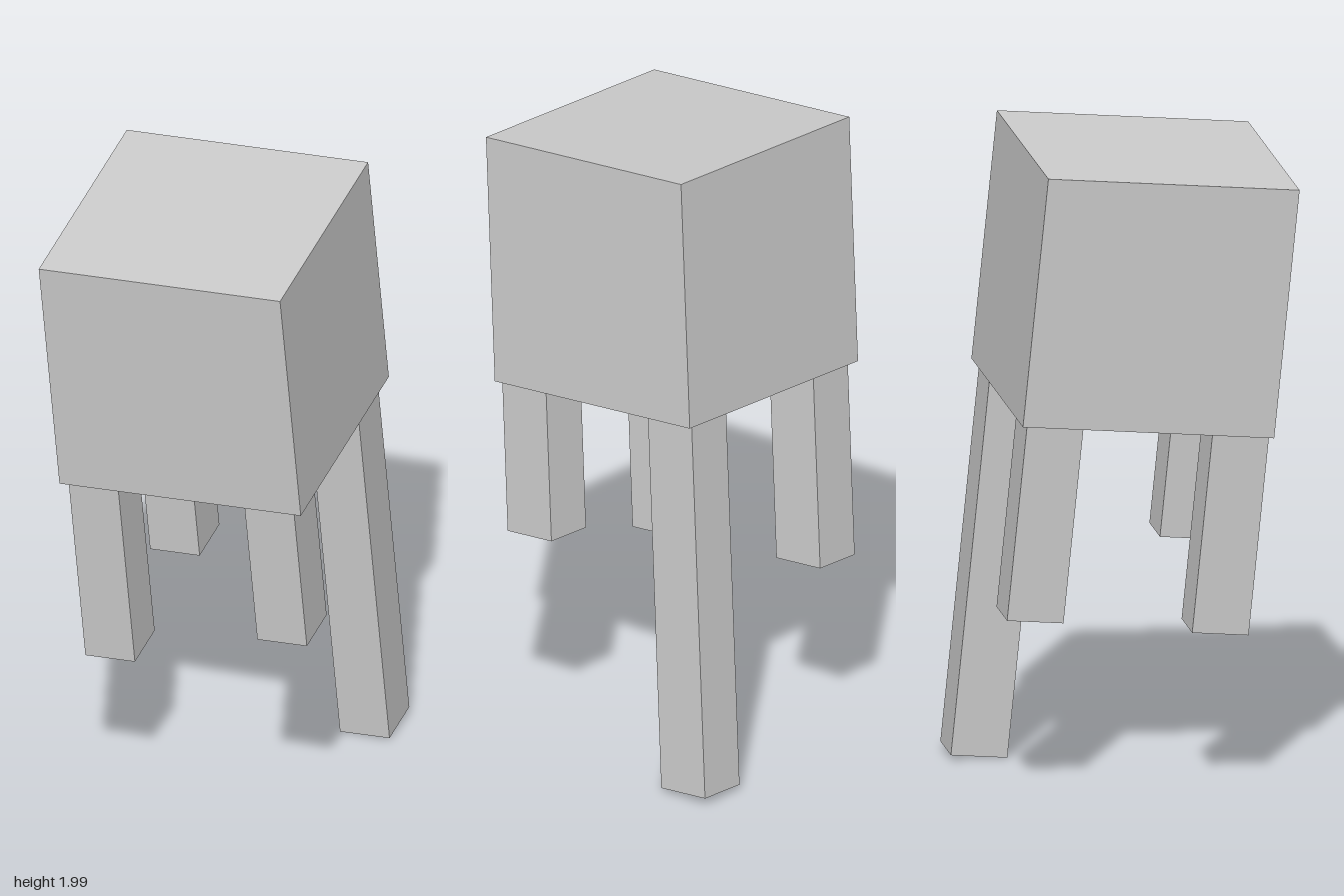
import * as THREE from 'three';

export function createModel() {
  const model = new THREE.Group();
  const grey = new THREE.MeshStandardMaterial({ color: 0xcccccc });
  grey.name = 'lightGrey';

  // Tilted frame shared by the block and its legs
  const stool = new THREE.Group();
  stool.name = 'tiltedStool';
  const up = new THREE.Vector3(-0.1026, 0.994, -0.019).normalize();
  const across = new THREE.Vector3(0.936, 0.09, -0.34);
  across.addScaledVector(up, -across.dot(up)).normalize();
  const forward = new THREE.Vector3().crossVectors(across, up);
  stool.quaternion.setFromRotationMatrix(new THREE.Matrix4().makeBasis(across, up, forward));
  stool.position.set(-0.0475, 1.557, -0.0025);
  model.add(stool);

  const side = 0.78;
  const addBox = (name, w, h, d, x, y, z) => {
    const mesh = new THREE.Mesh(new THREE.BoxGeometry(w, h, d), grey);
    mesh.name = name;
    mesh.position.set(x, y, z);
    stool.add(mesh);
  };

  // Cube body
  addBox('body', side, side, side, 0, 0, 0);

  // Four square legs of different lengths, slightly inset from the edges
  const legs = [
    ['frontLeftLeg', 0.284, 0.28, 1.194],
    ['frontRightLeg', -0.294, 0.285, 0.483],
    ['backRightLeg', -0.292, -0.284, 0.627],
    ['backLeftLeg', 0.284, -0.284, 0.615],
  ];
  for (const [name, x, z, length] of legs) {
    addBox(name, 0.175, length, 0.16, x, -side / 2 - length / 2, z);
  }
  return model;
}
